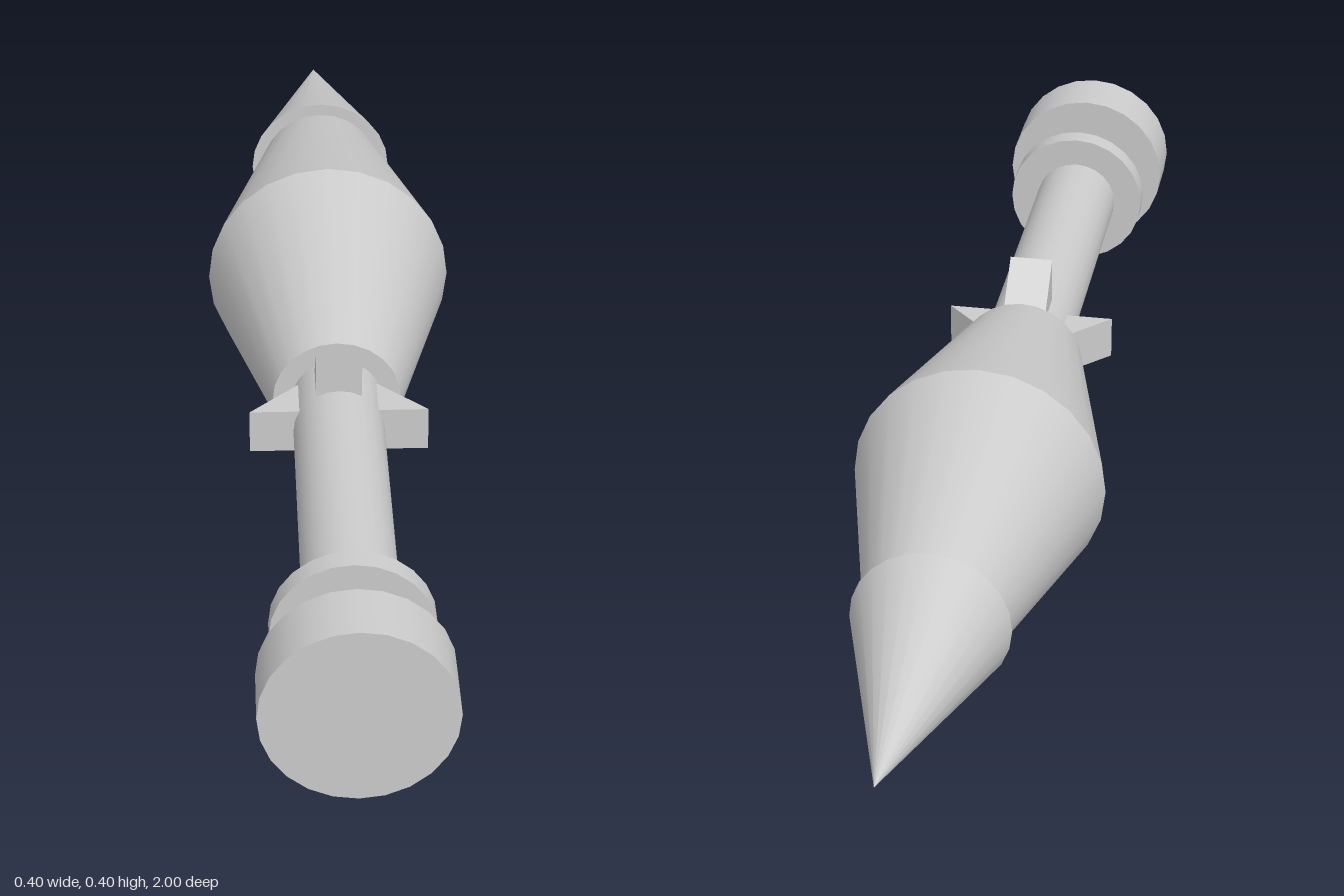
import * as THREE from 'three';

const material = new THREE.MeshStandardMaterial({ color: 0xcccccc });
const SIDES = 24;

// Round section along z, from its rear end (+z) to its forward end (-z)
function section(name, zRear, zFore, rRear, rFore) {
  const geometry = new THREE.CylinderGeometry(rFore, rRear, zRear - zFore, SIDES);
  geometry.rotateX(-Math.PI / 2);
  const mesh = new THREE.Mesh(geometry, material);
  mesh.name = name;
  mesh.position.z = (zRear + zFore) / 2;
  return mesh;
}

// Wedge fin: a triangle in the (z, radius) plane, extruded across its width
function finGeometry() {
  const width = 0.07;
  const shape = new THREE.Shape([
    new THREE.Vector2(-0.28, 0.04),
    new THREE.Vector2(-0.18, 0.04),
    new THREE.Vector2(-0.28, 0.137),
  ]);
  const geometry = new THREE.ExtrudeGeometry(shape, { depth: width, bevelEnabled: false });
  geometry.translate(0, 0, -width / 2);
  geometry.rotateY(Math.PI / 2); // shape x becomes -z
  return geometry;
}

export function createModel() {
  const model = new THREE.Group();
  model.name = 'rocket';

  const axis = new THREE.Group();
  axis.name = 'body';
  axis.position.y = 0.199;
  model.add(axis);

  axis.add(
    section('tailCap', 1, 0.9, 0.138, 0.138),
    section('tailRing', 0.815, 0.78, 0.118, 0.118),
    section('shaft', 0.92, 0.17, 0.07, 0.07),
    section('rearTaper', 0.188, -0.208, 0.1, 0.198),
    section('frontTaper', -0.208, -0.605, 0.198, 0.1),
    section('noseCone', -0.605, -1, 0.12, 0),
  );

  // Four fins around the shaft
  const geometry = finGeometry();
  for (let i = 0; i < 4; i++) {
    const fin = new THREE.Mesh(geometry, material);
    fin.name = 'fin';
    fin.rotation.z = (i * Math.PI) / 2;
    axis.add(fin);
  }
  return model;
}
